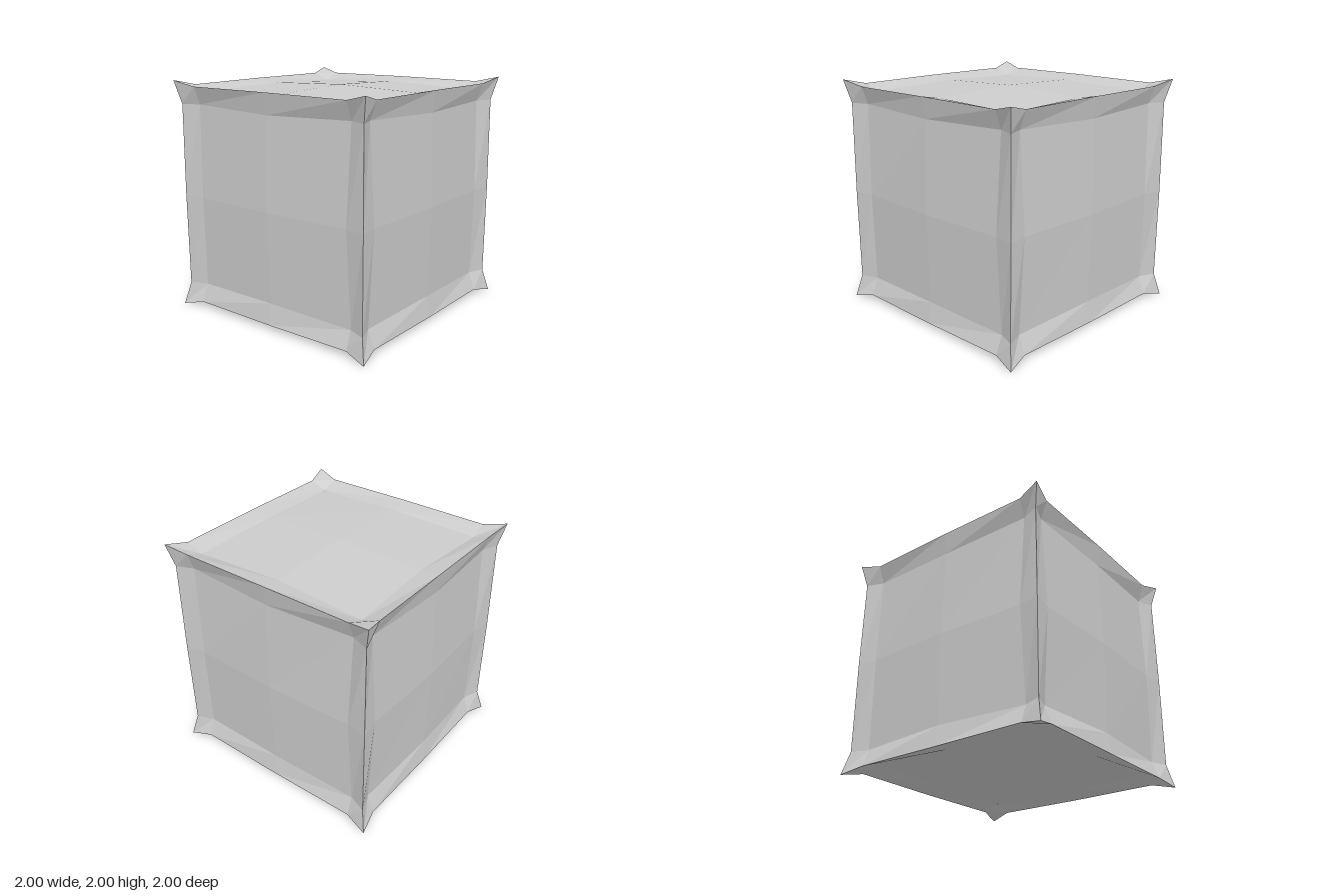
import * as THREE from 'three';

// Moves one vertex of an evenly divided cube: corners stay sharp,
// edges draw in slightly, and each face becomes a sunken, gently domed panel.
function shapeVertex(p) {
  const size = p.map(Math.abs);
  const outer = size.filter((c) => c > 0.9).length;
  const half = size.filter((c) => c > 0.3 && c < 0.7).length;
  let reach = 1; // corner
  let inset = 0.8;
  if (outer === 2) reach = half ? 0.954 : 0.958; // cube edge
  if (outer === 1) {
    reach = [0.95, 0.925, 0.895][half]; // panel centre, side, corner
    if (half === 1) inset = 0.777;
  }
  return p.map((c, i) => Math.sign(c) * (size[i] > 0.9 ? reach : size[i] > 0.3 ? inset : 0));
}

export function createModel() {
  const group = new THREE.Group();
  group.name = 'pinchedCube';

  const geometry = new THREE.BoxGeometry(2, 2, 2, 4, 4, 4);
  const pos = geometry.attributes.position;
  for (let i = 0; i < pos.count; i++) {
    pos.setXYZ(i, ...shapeVertex([pos.getX(i), pos.getY(i), pos.getZ(i)]));
  }
  geometry.translate(0, 1, 0);
  geometry.computeVertexNormals();

  const material = new THREE.MeshStandardMaterial({ color: 0xcccccc, flatShading: true });
  const body = new THREE.Mesh(geometry, material);
  body.name = 'cubeBody';
  group.add(body);
  return group;
}
